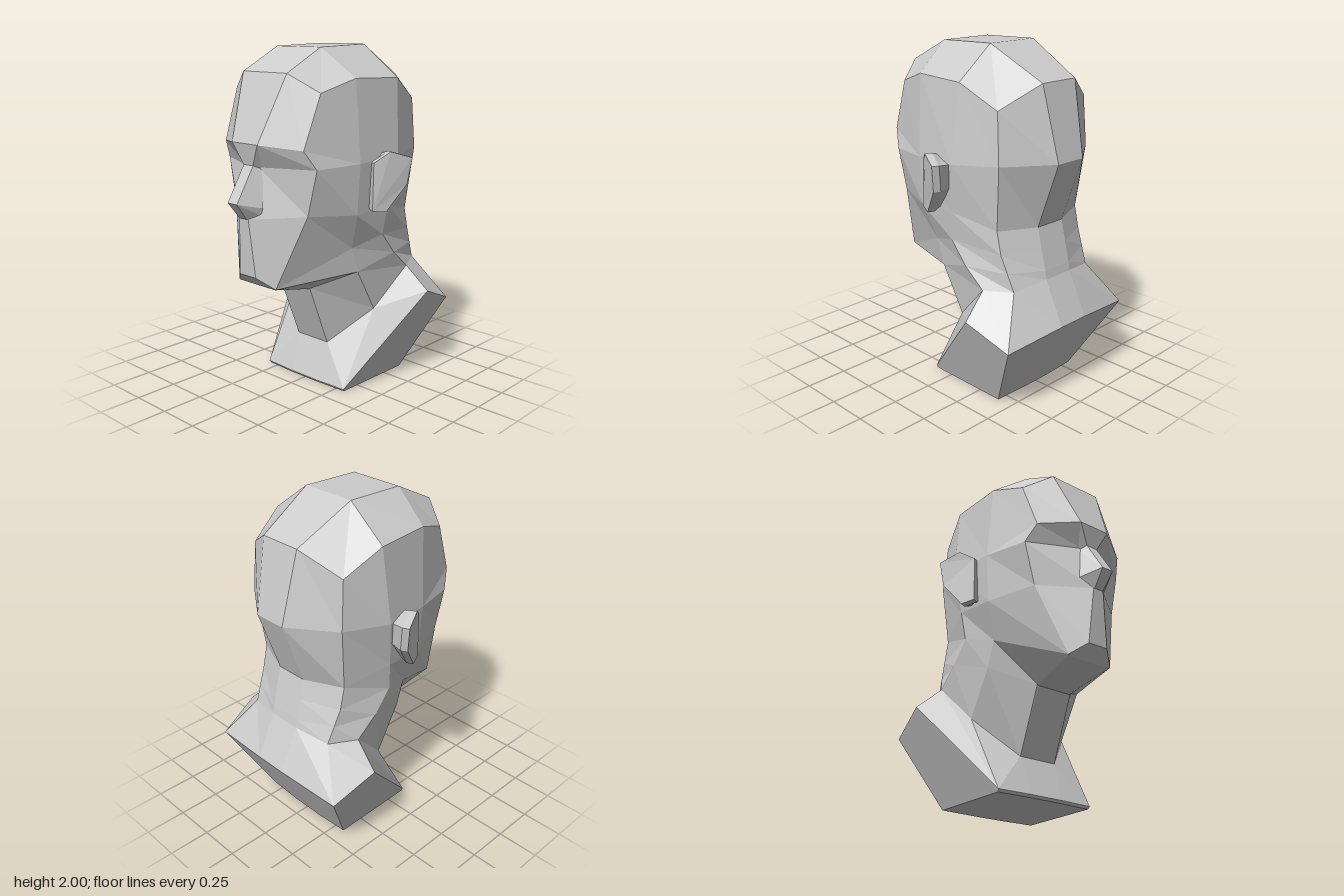
import * as THREE from 'three';

const material = new THREE.MeshStandardMaterial({ color: 0xcccccc, flatShading: true });

// Flat-shaded skin over a stack of closed loops (counterclockwise seen from the first loop's outside)
function loft(name, loops, capFirst, capLast) {
  const out = [];
  const tri = (a, b, c) => {
    const [p, q, r] = [a, b, c].map((v) => new THREE.Vector3(...v));
    if (q.sub(p).cross(r.sub(p)).length() > 1e-6) out.push(...a, ...b, ...c);
  };
  const n = loops[0].length;
  for (let k = 0; k < loops.length - 1; k++) {
    for (let i = 0; i < n; i++) {
      const j = (i + 1) % n;
      const up = loops[k], low = loops[k + 1];
      tri(up[i], low[i], low[j]);
      tri(up[i], low[j], up[j]);
    }
  }
  const last = loops[loops.length - 1];
  for (let i = 1; i < n - 1; i++) {
    if (capFirst) tri(loops[0][0], loops[0][i], loops[0][i + 1]);
    if (capLast) tri(last[0], last[i + 1], last[i]);
  }
  const geometry = new THREE.BufferGeometry();
  geometry.setAttribute('position', new THREE.Float32BufferAttribute(out, 3));
  geometry.computeVertexNormals();
  const mesh = new THREE.Mesh(geometry, material);
  mesh.name = name;
  return mesh;
}

const flip = (loop) => loop.map(([x, y, z]) => [-x, y, z]).reverse();
const whole = (half) => [...half, ...flip(half)];

export function createModel() {
  const model = new THREE.Group();
  model.name = 'plane head bust';

  // Half loops run: front strip, front corner, side front, side back, back corner, back strip
  const crownFront = [0.17, 1.99, 0.17], crownBack = [0.17, 2.0, -0.19];
  const crown = [crownFront, crownFront, crownFront, crownBack, crownBack, crownBack];
  const forehead = [[0.17, 1.86, 0.43], [0.33, 1.76, 0.34], [0.39, 1.83, 0.13],
    [0.41, 1.82, -0.2], [0.35, 1.69, -0.42], [0.13, 1.82, -0.53]];
  const skullSide = [[0.42, 1.37, 0.12], [0.45, 1.38, -0.17], [0.36, 1.4, -0.44], [0.1, 1.4, -0.625]];
  const brow = [[0.1, 1.49, 0.585], [0.31, 1.465, 0.45], ...skullSide];
  const eyeLine = [[0.05, 1.36, 0.53], [0.35, 1.36, 0.39], ...skullSide];
  const noseLine = [[0.035, 1.08, 0.6], [0.29, 1.1, 0.4], [0.4, 1.08, 0.12],
    [0.415, 1.1, -0.13], [0.33, 1.03, -0.4], [0.1, 1.02, -0.49]];
  const jawSide = [[0.33, 0.87, 0.08], [0.395, 0.93, -0.11], [0.33, 0.9, -0.43], [0.1, 0.9, -0.52]];
  const chin = [[0.065, 0.75, 0.58], [0.15, 0.685, 0.51], ...jawSide];
  const jaw = [[0.14, 0.68, 0.505], [0.15, 0.685, 0.51], ...jawSide];

  const throat = [[0.11, 0.61, 0.21], [0.12, 0.615, 0.21], [0.33, 0.72, 0.03],
    [0.395, 0.8, -0.22], [0.32, 0.8, -0.47], [0.1, 0.78, -0.55]];
  const neckBase = [[0.12, 0.24, 0.06], [0.12, 0.24, 0.06], [0.33, 0.46, -0.12],
    [0.39, 0.69, -0.35], [0.31, 0.7, -0.51], [0.1, 0.73, -0.56]];

  const bustRim = [[0.1, 0.015, 0.14], [0.315, 0.015, 0.13], [0.315, 0.015, 0.13],
    [0.54, 0.555, -0.37], [0.49, 0.44, -0.64], [0.1, 0.48, -0.68]];
  const bustFoot = [[0.1, 0, 0.13], [0.31, 0, 0.12], [0.31, 0, 0.12],
    [0.315, 0, -0.4], [0.315, 0, -0.4], [0.1, 0, -0.41]];

  model.add(loft('head', [crown, forehead, brow, eyeLine, noseLine, chin, jaw].map(whole), true, false));
  model.add(loft('neck', [jaw, throat, neckBase].map(whole), false, false));
  model.add(loft('shoulderBase', [neckBase, bustRim, bustFoot].map(whole), false, true));

  // Nose: each half loop is a ridge point and a wing point
  const nose = [
    [[0.1, 1.49, 0.586], [0.105, 1.47, 0.565]],
    [[0.037, 1.37, 0.56], [0.065, 1.35, 0.515]],
    [[0.037, 1.175, 0.68], [0.1, 1.145, 0.55]],
    [[0.03, 1.08, 0.605], [0.085, 1.1, 0.55]],
  ];
  model.add(loft('nose', nose.map(whole), true, true));

  // Ears: a flared slab narrowing to a root inside the skull
  const earFace = [[0.455, 1.37, 0.05], [0.51, 1.43, -0.03], [0.567, 1.39, -0.15],
    [0.545, 1.24, -0.135], [0.49, 1.09, -0.02], [0.455, 1.1, 0.055]].reverse();
  const earBack = earFace.map(([x, y, z]) => [x - 0.035, y, z - 0.02]);
  const earRoot = earFace.map(([x, y, z]) => [0.4, 1.25 + (y - 1.25) * 0.85, z * 0.8 - 0.02]);
  const ear = [earFace, earBack, earRoot];
  model.add(loft('leftEar', ear, true, true));
  model.add(loft('rightEar', ear.map(flip), true, true));

  return model;
}
